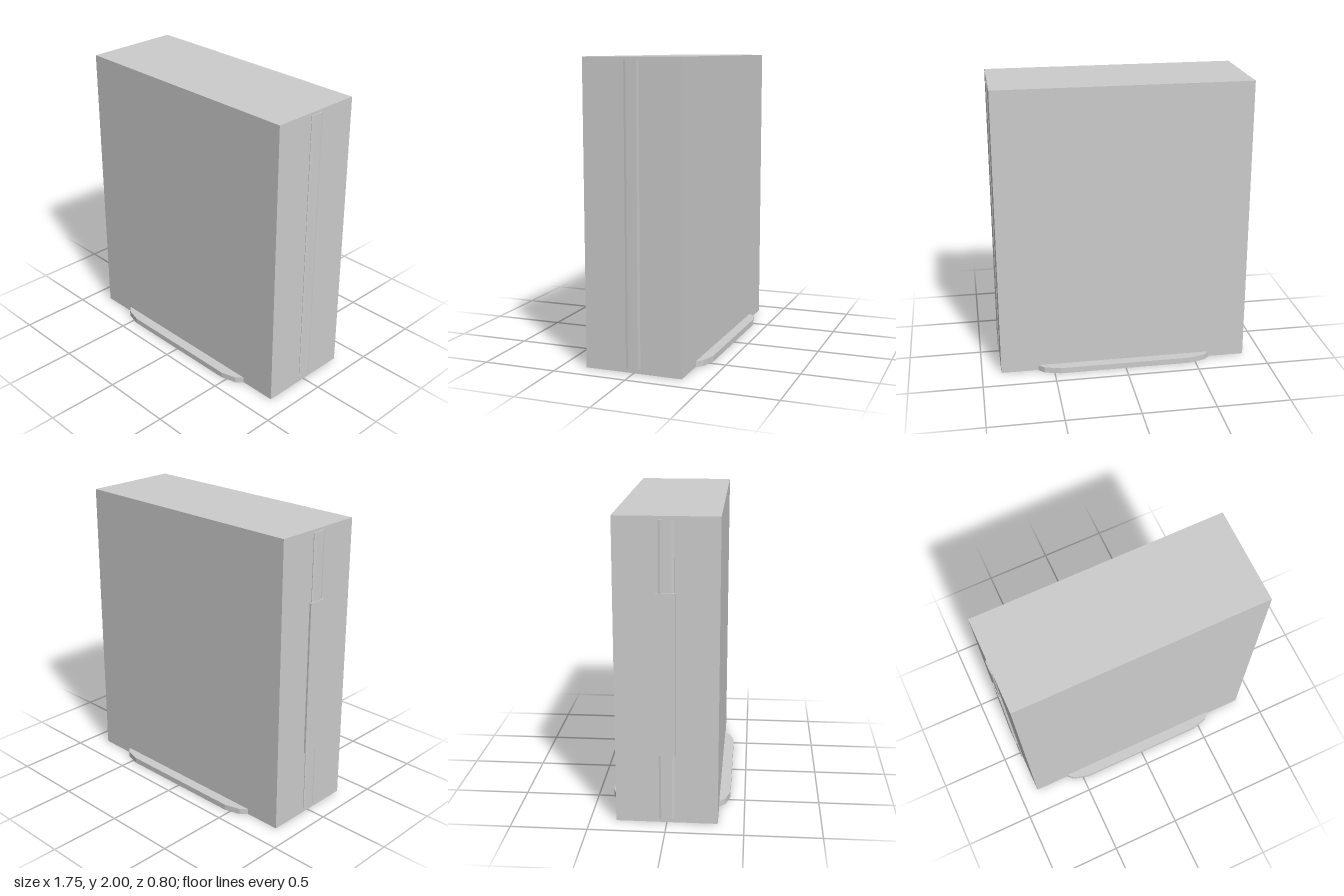
import * as THREE from 'three';

export function createModel() {
  const model = new THREE.Group();
  const grey = new THREE.MeshStandardMaterial({ color: 0xcccccc });
  grey.name = 'light grey';

  function add(name, geometry, x, y, z) {
    const mesh = new THREE.Mesh(geometry, grey);
    mesh.name = name;
    mesh.position.set(x, y, z);
    model.add(mesh);
    return mesh;
  }

  // Main case, a hair above the floor so the foot plate covers its underside
  add('body', new THREE.BoxGeometry(1.73, 1.998, 0.66), 0.002, 1.001, 0);

  // Foot plate: one quarter outline mirrored into a closed shape
  const quarter = [[0.8, 0.08], [0.78, 0.16], [0.73, 0.25], [0.61, 0.33], [0.57, 0.37], [0.46, 0.4]];
  const flipped = [...quarter].reverse();
  const outline = [
    ...quarter,
    ...flipped.map(([x, z]) => [-x, z]),
    ...quarter.map(([x, z]) => [-x, -z]),
    ...flipped.map(([x, z]) => [x, -z]),
  ].map(([x, z]) => new THREE.Vector2(x, z));
  const plate = new THREE.ExtrudeGeometry(new THREE.Shape(outline), { depth: 0.04, bevelEnabled: false });
  plate.rotateX(-Math.PI / 2);
  add('footPlate', plate, 0, 0, 0);

  // Shallow bevelled seam strips running up both narrow sides
  for (const side of [1, -1]) {
    const out = side > 0 ? 0.006 : 0.009;
    const section = new THREE.Shape([
      new THREE.Vector2(-0.01, -0.05),
      new THREE.Vector2(out * 0.5, -0.05),
      new THREE.Vector2(out, -0.035),
      new THREE.Vector2(out, 0.035),
      new THREE.Vector2(out * 0.5, 0.05),
      new THREE.Vector2(-0.01, 0.05),
    ]);
    const strip = new THREE.ExtrudeGeometry(section, { depth: 1.95, bevelEnabled: false });
    strip.rotateX(-Math.PI / 2);
    const mesh = add(side > 0 ? 'leftSeamStrip' : 'rightSeamStrip', strip, side > 0 ? 0.867 : -0.863, 0.03, 0);
    mesh.rotation.y = side > 0 ? 0 : Math.PI;
  }

  // Raised cover on the right side
  add('sideCover', new THREE.BoxGeometry(0.02, 1.06, 0.125), -0.867, 1, -0.003);

  return model;
}
